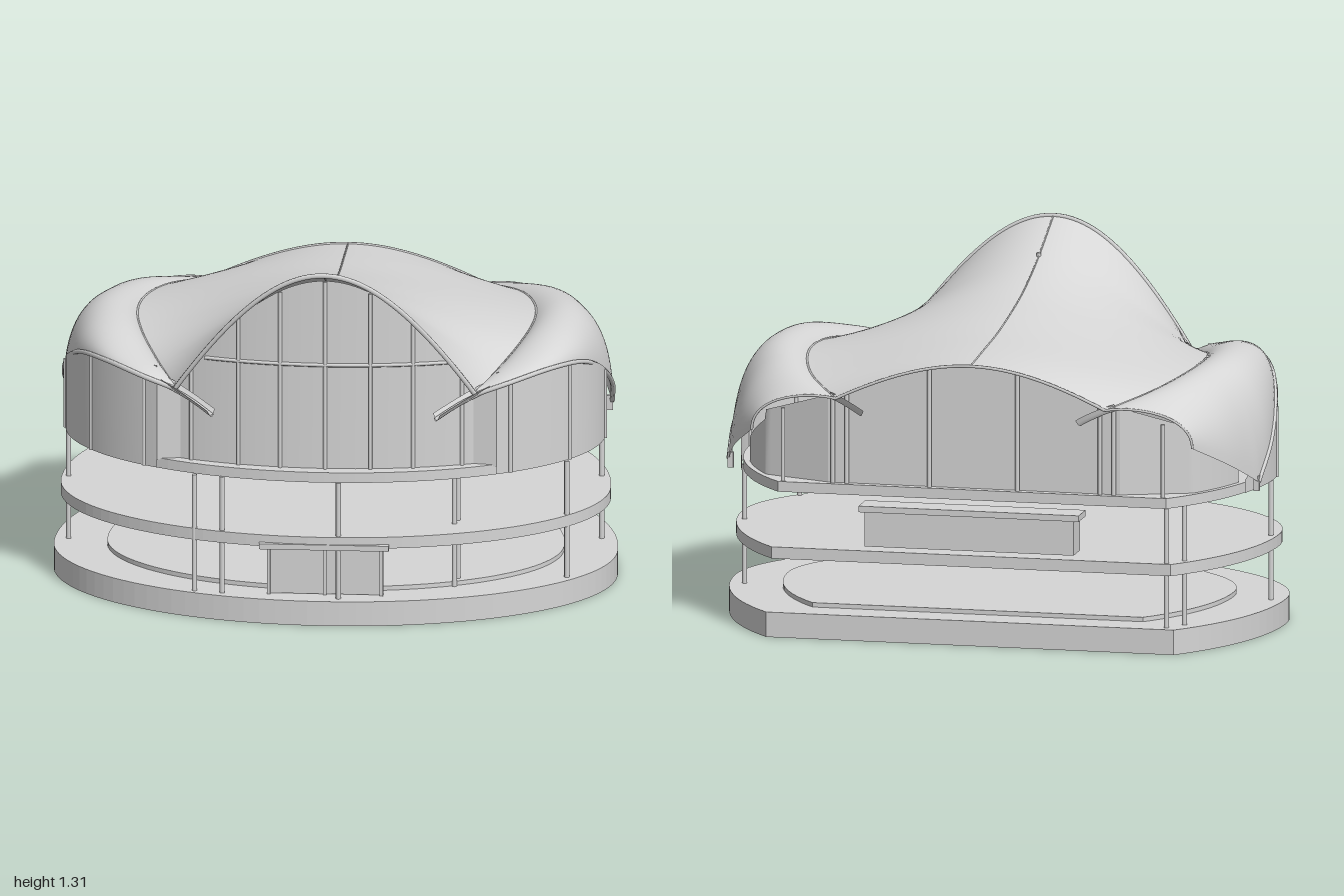
import * as THREE from 'three';

const concrete = new THREE.MeshStandardMaterial({ color: 0xd6d6d6, side: THREE.DoubleSide });
concrete.name = 'pale grey';
const V3 = (x, y, z) => new THREE.Vector3(x, y, z);
const spline = (pts) => new THREE.CatmullRomCurve3(pts.map((p) => V3(...p)));

// Guide curves of the roof, front to back
const ridge = spline([[0, 1.3, 0.665], [0, 1.185, 0.4], [0, 1.115, 0.18], [0, 1.075, -0.02], [0, 1.045, -0.22], [0, 1.025, -0.45], [0, 1.008, -0.65]]);
const valley = spline([[0.53, 0.845, 0.57], [0.6, 0.88, 0.4], [0.675, 0.925, 0.18], [0.705, 0.94, -0.02], [0.69, 0.935, -0.22], [0.62, 0.91, -0.45], [0.49, 0.87, -0.65]]);
const frontRim = spline([[0.54, 0.845, 0.573], [0.645, 0.878, 0.55], [0.79, 0.897, 0.42], [0.89, 0.868, 0.24], [0.95, 0.775, 0.03], [0.972, 0.67, -0.14], [0.962, 0.562, -0.278]]);
const rearRim = spline([[0.962, 0.562, -0.278], [0.9, 0.65, -0.45], [0.8, 0.74, -0.62]]);

// Outer rim of a lobe, with a sharp turn at the foot
const FOOT = 0.72;
const rim = (t) => (t < FOOT ? frontRim.getPoint(t / FOOT) : rearRim.getPoint((t - FOOT) / (1 - FOOT)));

// Point of the central saddle: t runs front to back, u across from -1 to 1
function saddle(t, u) {
  const r = ridge.getPoint(t), v = valley.getPoint(t);
  const k = 0.13 + 0.45 * Math.sin(Math.PI * t);
  const s = (1 - k) * (1 - u * u) + k * (1 + Math.cos(Math.PI * u)) / 2;
  return V3(v.x * u, v.y + (r.y - v.y) * s, v.z + (r.z - v.z) * s);
}

// Point of a side lobe: u runs from the valley over the crest to the outer rim
function lobe(t, u) {
  const v = valley.getPoint(t), o = rim(t), a = Math.sin(Math.PI * t) ** 0.8;
  const p1 = V3(v.x + 0.28 * (o.x - v.x), v.y + 0.02 + 0.055 * a, v.z);
  const p2 = V3(o.x - 0.02 * a, Math.max(v.y + 0.055 * a, o.y + 0.03 * a), o.z);
  return new THREE.CubicBezierCurve3(v, p1, p2, o).getPoint(u);
}

// Find t at which a falling function reaches a value
function solve(f, value) {
  let lo = 0, hi = 1;
  for (let i = 0; i < 24; i++) {
    const m = (lo + hi) / 2;
    if (f(m) > value) lo = m; else hi = m;
  }
  return lo;
}
function saddleY(x, z) {
  const at = (t) => saddle(t, THREE.MathUtils.clamp(x / valley.getPoint(t).x, -1, 1));
  return at(solve((t) => at(t).z, z)).y;
}
const rimY = (z) => rim(solve((t) => rim(t).z, z)).y;

// Smooth sheet from a two-parameter rule
function sheet(n, m, f) {
  const pos = [], idx = [];
  for (let i = 0; i <= n; i++) for (let j = 0; j <= m; j++) pos.push(...f(i / n, j / m).toArray());
  for (let i = 0; i < n; i++) for (let j = 0; j < m; j++) {
    const a = i * (m + 1) + j, b = a + m + 1;
    idx.push(a, a + 1, b, a + 1, b + 1, b);
  }
  const g = new THREE.BufferGeometry();
  g.setAttribute('position', new THREE.Float32BufferAttribute(pos, 3));
  g.setIndex(idx);
  g.computeVertexNormals();
  return g;
}

// Plan shared by slabs and walls: a shallow half ellipse in front, a rounder one behind, cut straight at the back
const planX = (a, front, z) => a * Math.sqrt(Math.max(0, 1 - (z / (z > 0 ? front : a * 0.973)) ** 2));
const planZ = (a, front, x) => front * Math.sqrt(Math.max(0, 1 - (x / a) ** 2));
function slab(a, front, back, h) {
  const rear = a * 0.973, phi = Math.asin(-back / rear), pts = [];
  for (let i = 0; i <= 80; i++) {
    const q = -phi + (Math.PI + 2 * phi) * i / 80, s = Math.sin(q);
    pts.push(new THREE.Vector2(a * Math.cos(q), -s * (s > 0 ? front : rear)));
  }
  return new THREE.ExtrudeGeometry(new THREE.Shape(pts), { depth: h, bevelEnabled: false }).rotateX(-Math.PI / 2);
}

export function createModel() {
  const model = new THREE.Group();
  const add = (name, geo, x = 0, y = 0, z = 0) => {
    const mesh = new THREE.Mesh(geo, concrete);
    mesh.name = name;
    mesh.position.set(x, y, z);
    model.add(mesh);
  };
  const box = (name, w, h, d, x, y, z) => add(name, new THREE.BoxGeometry(w, h, d), x, y, z);
  const post = (name, x, z, y0, y1, r = 0.009) => add(name, new THREE.CylinderGeometry(r, r, y1 - y0, 12), x, (y0 + y1) / 2, z);
  const tube = (name, pts, r) => add(name, new THREE.TubeGeometry(new THREE.CatmullRomCurve3(pts), 64, r, 6));
  const along = (n, f) => Array.from({ length: n + 1 }, (_, i) => f(i / n));

  // Floors
  add('base', slab(1, 0.66, -0.655, 0.09));
  add('groundFloorPlinth', slab(0.81, 0.53, -0.53, 0.016), 0, 0.09);
  add('middleFloor', slab(0.975, 0.64, -0.635, 0.042), 0, 0.28);
  add('upperFloor', slab(0.95, 0.62, -0.62, 0.037), 0, 0.519);

  // Columns through the open storeys
  const columns = [[-0.95, -0.03], [0.933, -0.155], [-0.755, -0.55], [-0.705, -0.615], [0.84, 0.31], [-0.365, 0.575],
    [-0.465, 0.555], [0.45, 0.445], [0.46, 0.4], [0.05, 0.62]];
  for (const [x, z] of columns) post('column', x, z, 0.09, 0.52);

  // Entrance with canopy
  box('entrance', 0.4, 0.175, 0.012, 0, 0.18, 0.57);
  for (const x of [-0.2, 0, 0.2]) box('doorPost', 0.012, 0.18, 0.025, x, 0.18, 0.57);
  box('canopy', 0.46, 0.02, 0.12, 0, 0.285, 0.585);

  // Rear hanging box
  box('rearBox', 0.76, 0.13, 0.1, 0, 0.41, -0.618);
  box('rearBoxRim', 0.8, 0.022, 0.11, 0, 0.48, -0.62);

  // Central roof with ridge seam and edge ribs
  add('mainRoof', sheet(48, 48, (t, u) => saddle(t, u * 2 - 1)));
  tube('frontArch', along(40, (s) => saddle(0, s * 2 - 1)), 0.009);
  tube('rearArch', along(40, (s) => saddle(1, s * 2 - 1)), 0.006);
  tube('ridgeSeam', along(30, (s) => saddle(s, 0)), 0.003);
  post('ridgePin', 0, 0.435, 1.18, 1.21, 0.008);

  // Front glazing under the arch
  const front = (x) => planZ(0.95, 0.57, x);
  add('frontGlazing', sheet(1, 48, (v, s) => {
    const x = -0.52 + 1.04 * s, z = front(x);
    return V3(x, v ? 0.55 : saddleY(x, z) - 0.006, z);
  }));
  for (const x of [-0.48, -0.31, -0.16, 0, 0.16, 0.31, 0.48]) {
    const z = front(x) + 0.004;
    post('frontMullion', x, z, 0.55, saddleY(x, z) - 0.01, 0.007);
  }
  tube('frontRail', along(20, (s) => V3(-0.43 + 0.86 * s, 0.94, front(-0.43 + 0.86 * s) + 0.004)), 0.007);

  // Rear glazing
  const rearZ = -0.59;
  add('rearGlazing', sheet(1, 40, (v, s) => {
    const x = -0.53 + 1.06 * s;
    return V3(x, v ? 0.55 : saddleY(x, rearZ) - 0.006, rearZ);
  }));
  for (const x of [-0.51, -0.46, -0.16, 0.16, 0.46, 0.51]) post('rearMullion', x, rearZ - 0.01, 0.55, saddleY(x, rearZ) - 0.01, 0.008);

  for (const m of [1, -1]) {
    const flip = (p) => V3(p.x * m, p.y, p.z);

    // Side lobe with its ribs
    add('sideRoof', sheet(50, 24, (t, u) => flip(lobe(t, m > 0 ? u : 1 - u))));
    tube('rimRib', along(50, (s) => flip(frontRim.getPoint(s))), 0.009);
    tube('valleySeam', along(40, (s) => flip(valley.getPoint(s))), 0.004);
    tube('rearRib', along(20, (s) => flip(lobe(1, s))), 0.005);
    box('roofFoot', 0.02, 0.055, 0.014, 0.955 * m, 0.557, -0.275);

    // Water spouts at the valley ends
    const spout = (name, a, b, c, w) => add(name, sheet(10, 6, (t, u) => {
      const p = new THREE.QuadraticBezierCurve3(V3(...a), V3(...b), V3(...c)).getPoint(t);
      const k = u * 2 - 1;
      return flip(V3(p.x + w * k * 0.5, p.y + 0.022 * k * k, p.z + w * k * 0.6));
    }));
    spout('frontSpout', [0.57, 0.85, 0.55], [0.49, 0.815, 0.59], [0.4, 0.766, 0.645], 0.025);
    tube('frontSpoutRib', [[0.57, 0.853, 0.56], [0.48, 0.815, 0.6], [0.395, 0.77, 0.65]].map((p) => flip(V3(...p))), 0.008);
    spout('rearSpout', [0.53, 0.865, -0.6], [0.47, 0.85, -0.63], [0.4, 0.81, -0.645], -0.03);

    // Curved side wall, standing just outside the upper floor
    const zStart = 0.487, zEnd = -0.28;
    const wallX = (z) => planX(0.958, 0.626, z);
    add('sideWall', sheet(1, 48, (v, s) => {
      const z = zStart + (zEnd - zStart) * s;
      return V3(wallX(z) * m, v ? 0.521 : rimY(z) + 0.005, z);
    }));
    for (const z of [0.46, 0.29, 0.03]) post('sideMullion', wallX(z) * m, z, 0.521, rimY(z), 0.007);

    // Panel closing the side wall to the front glazing
    add('frontCorner', sheet(1, 4, (v, s) => {
      const x = 0.52 + (wallX(zStart) - 0.52) * s;
      return V3(x * m, v ? 0.55 : 0.865, front(0.52) + (zStart - front(0.52)) * s);
    }));

    // Set-back wall from the roof foot round to the rear glazing
    add('rearSideWall', sheet(1, 30, (v, s) => {
      const z = -0.27 - 0.23 * Math.min(1, s / 0.6), k = Math.max(0, (s - 0.6) / 0.4);
      const x = planX(0.93, 0.6, z);
      const top = s < 0.6 ? rimY(z) + 0.08 : 0.79 + 0.08 * k;
      return V3((x + (0.53 - x) * k) * m, v ? 0.55 : top, z + (rearZ - z) * k);
    }));
    post('rearCornerPost', 0.69 * m, -0.605, 0.55, 0.82, 0.008);
  }
  return model;
}
